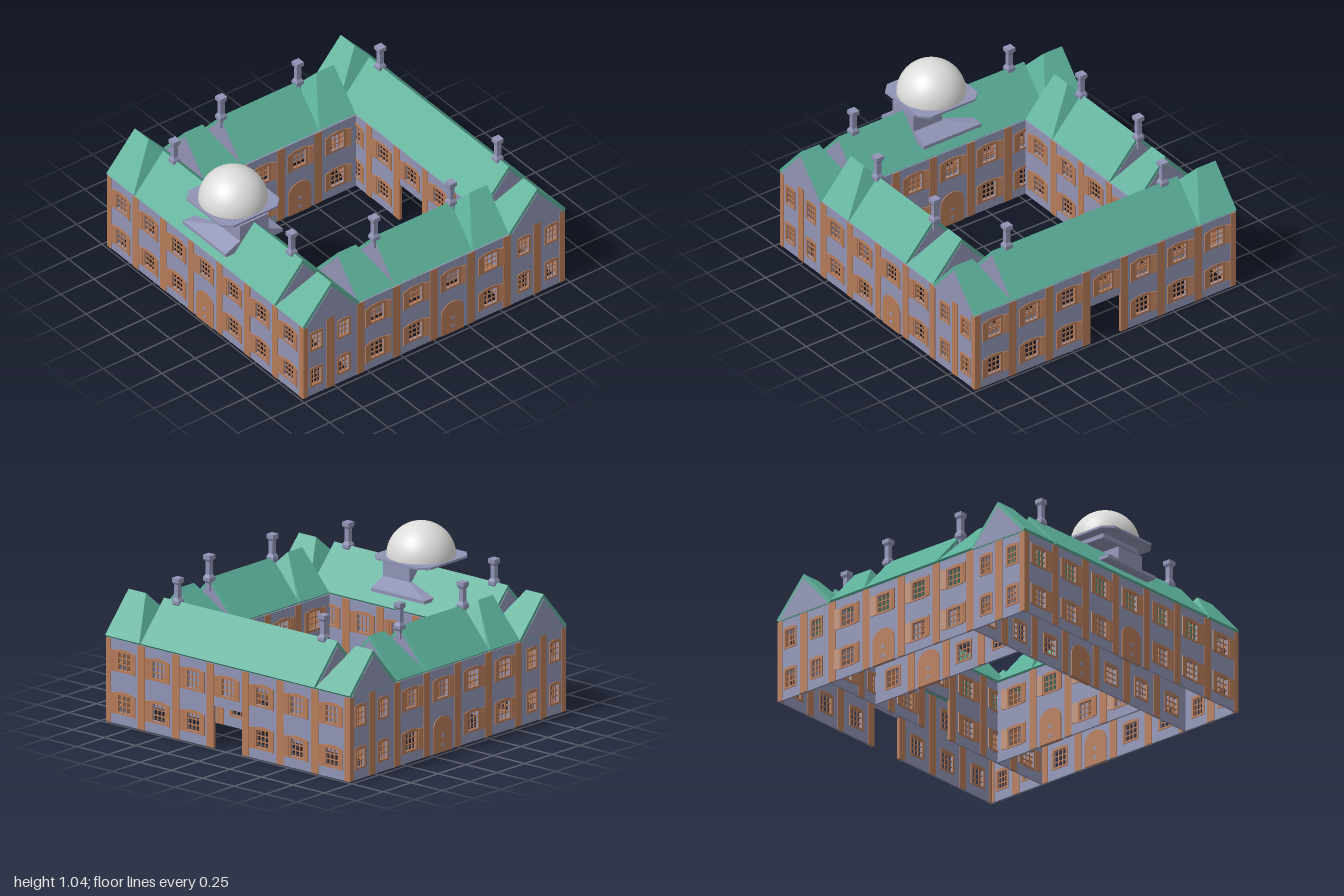
import * as THREE from 'three';
import { mergeGeometries } from 'three/addons/utils/BufferGeometryUtils.js';

const material = (name, color) => {
  const m = new THREE.MeshStandardMaterial({ color });
  m.name = name;
  return m;
};

const T = 0.012; // wall thickness
const WALL_TOP = 0.526;
const FLOORS = [0.13, 0.395];

function rectPath(Type, x, y, w, h) {
  const p = new Type();
  p.moveTo(x - w / 2, y - h / 2);
  p.lineTo(x + w / 2, y - h / 2);
  p.lineTo(x + w / 2, y + h / 2);
  p.lineTo(x - w / 2, y + h / 2);
  p.closePath();
  return p;
}

// Extrusion centred on the wall plane
function slab(shape, depth) {
  const g = new THREE.ExtrudeGeometry(shape, { depth, bevelEnabled: false, curveSegments: 10 });
  return g.translate(0, 0, -depth / 2);
}

function block(x, y, z, w, h, d) {
  return new THREE.BoxGeometry(w, h, d).translate(x, y, z).toNonIndexed();
}

export function createModel() {
  const stone = material('greyLilacStone', 0x9093b4);
  const brick = material('terracotta', 0xb57a58);
  const copper = material('greenCopper', 0x5aae98);
  const domeGrey = material('paleDome', 0xdcdcda);

  const model = new THREE.Group();
  model.name = 'courtyardBuilding';

  const add = (parent, name, geo, mat) => {
    const m = new THREE.Mesh(geo, mat);
    m.name = name;
    parent.add(m);
    return m;
  };

  // One facade: pierced wall, window frames, bars, shutters, pilasters, door
  function wall(name, half, bays, pilasters, { door = null, passage = false }, pos, turn) {
    const g = new THREE.Group();
    g.name = name;
    const outline = new THREE.Shape();
    outline.moveTo(-half, 0);
    if (passage) [[-0.14, 0], [-0.14, 0.265], [0.14, 0.265], [0.14, 0]].forEach(p => outline.lineTo(...p));
    outline.lineTo(half, 0);
    outline.lineTo(half, WALL_TOP);
    outline.lineTo(-half, WALL_TOP);
    outline.closePath();

    const trim = [], shutters = [], posts = [];
    for (const [x, narrow] of bays) {
      FLOORS.forEach((y, floor) => {
        const blocked = (door !== null && Math.abs(x - door) < 0.05) || (passage && Math.abs(x) < 0.05);
        if (floor === 0 && blocked) return;
        const w = narrow ? 0.07 : 0.095, h = 0.108;
        outline.holes.push(rectPath(THREE.Path, x, y, w, h));
        const fw = w + 0.03, fh = 0.134;
        const frame = new THREE.Shape();
        frame.moveTo(x - fw / 2, y - fh / 2);
        frame.lineTo(x + fw / 2, y - fh / 2);
        frame.lineTo(x + fw / 2, y + fh / 2);
        frame.quadraticCurveTo(x, y + fh / 2 + 0.016, x - fw / 2, y + fh / 2);
        frame.closePath();
        frame.holes.push(rectPath(THREE.Path, x, y, w, h));
        trim.push(slab(frame, T + 0.01));
        for (const s of [-1, 1]) {
          trim.push(block(x + s * w / 6, y, 0, 0.007, h, 0.006));
          trim.push(block(x, y + s * h / 6, 0, w, 0.007, 0.006));
          if (narrow) continue;
          // open shutter, hinged at the frame
          const leaf = new THREE.BoxGeometry(0.036, 0.132, 0.006).translate(0.018, 0, 0).toNonIndexed();
          leaf.rotateY(s > 0 ? -0.25 : Math.PI + 0.25);
          shutters.push(leaf.translate(x + s * fw / 2, y, T / 2 + 0.004));
        }
      });
    }
    for (const x of pilasters) {
      const edge = Math.abs(x) > half - 0.03;
      const w = edge ? 0.036 : 0.055;
      const px = edge ? Math.sign(x) * (half - w / 2 + 0.004) : x;
      posts.push(block(px, WALL_TOP / 2, 0, w, WALL_TOP - 0.002, T + 0.008));
    }
    add(g, 'wall', slab(outline, T), stone);
    add(g, 'windowFrames', mergeGeometries(trim), brick);
    if (shutters.length) add(g, 'shutters', mergeGeometries(shutters), brick);
    add(g, 'pilasters', mergeGeometries(posts), brick);

    if (door !== null) {
      const arch = new THREE.Shape();
      arch.moveTo(door - 0.085, 0);
      arch.lineTo(door + 0.085, 0);
      arch.lineTo(door + 0.085, 0.15);
      arch.bezierCurveTo(door + 0.085, 0.25, door - 0.085, 0.25, door - 0.085, 0.15);
      arch.closePath();
      add(g, 'archedDoor', slab(arch, T + 0.012), brick);
      const spots = [0.105, 0.045].map(y =>
        new THREE.CylinderGeometry(0.013, 0.013, T + 0.016, 10).rotateX(Math.PI / 2).translate(door, y, 0));
      add(g, 'doorOrnaments', mergeGeometries(spots), stone);
    }
    g.position.set(...pos);
    g.rotation.y = turn;
    model.add(g);
  }

  const longBays = [-0.825, -0.55, -0.275, 0, 0.275, 0.55, 0.825].map(x => [x, false]);
  const longPosts = [-0.96, -0.69, -0.415, -0.14, 0.14, 0.415, 0.69, 0.96];
  const innerBays = [-0.425, -0.14, 0.14, 0.425].map(x => [x, false]);
  const innerPosts = [-0.28, 0, 0.28];
  const sideBays = [...innerBays, ...[-0.885, -0.677, 0.677, 0.885].map(x => [x, true])];
  const sidePosts = [-0.975, -0.778, -0.55, ...innerPosts, 0.55, 0.778, 0.975];
  const H = Math.PI / 2;

  wall('frontWall', 0.963, longBays, longPosts, { door: 0 }, [0, 0, 0.976], 0);
  wall('backWall', 0.963, longBays, longPosts, { passage: true }, [0, 0, -0.976], Math.PI);
  wall('frontCourtyardWall', 0.955, longBays, longPosts.slice(1, -1), { door: 0 }, [0, 0, 0.572], Math.PI);
  wall('backCourtyardWall', 0.955, longBays, longPosts.slice(1, -1), { passage: true }, [0, 0, -0.572], 0);
  for (const s of [-1, 1]) {
    const side = s > 0 ? 'left' : 'right';
    wall(side + 'Wall', 0.98, sideBays, sidePosts, { door: s * 0.14 }, [s * 0.96, 0, 0], s * H);
    wall(side + 'CourtyardWall', 0.568, innerBays, innerPosts, { door: -s * 0.14 }, [s * 0.552, 0, 0], -s * H);
  }

  // Pitched roof running along local z; the z = 0 end may be hipped
  const profile = new THREE.Shape([[-0.198, 0.523], [0.198, 0.523], [0.215, 0.539], [0, 0.78], [-0.215, 0.539]]
    .map(p => new THREE.Vector2(...p)));
  const gableShape = new THREE.Shape([[-0.196, 0.527], [0.196, 0.527], [0, 0.75]]
    .map(p => new THREE.Vector2(...p)));
  function roof(name, length, hip, pos, turn) {
    const g = new THREE.Group();
    g.name = name;
    const geo = new THREE.ExtrudeGeometry(profile, { depth: length, bevelEnabled: false });
    const p = geo.attributes.position;
    for (let i = 0; i < p.count; i++) {
      if (p.getY(i) > 0.77 && p.getZ(i) < 0.001) p.setZ(i, hip);
    }
    geo.computeVertexNormals();
    add(g, 'roofCovering', geo, copper);
    const ends = hip ? [length] : [0, length];
    for (const z of ends) add(g, 'gable', slab(gableShape, 0.006), stone).position.z = z;
    g.position.set(...pos);
    g.rotation.y = turn;
    model.add(g);
  }

  for (const s of [-1, 1]) {
    const wingZ = s * 0.775, wingX = s * 0.757;
    roof(s > 0 ? 'frontRoof' : 'backRoof', 1.38, 0, [-0.69, 0, wingZ], H);
    roof('sideRoof', 0.57, 0, [wingX, 0, -0.285], 0);
    for (const t of [-1, 1]) {
      roof('cornerRoof', 0.272, 0.135, [t * 0.7, 0, wingZ], t * H);
      roof('sideEndRoof', 0.268, 0.135, [wingX, 0, t * 0.292], t > 0 ? 0 : Math.PI);
    }
  }

  // Chimneys: square stacks with flared foot and cap
  const stack = [[0, 0.7], [0.015, 0.7], [0.015, 0.75], [0.026, 0.765], [0.026, 0.785], [0.016, 0.805],
    [0.016, 0.885], [0.026, 0.9], [0.026, 0.926], [0, 0.926]]
    .map(([r, y]) => new THREE.Vector2(r * Math.SQRT2, y));
  const stackGeo = new THREE.LatheGeometry(stack, 4).rotateY(Math.PI / 4).toNonIndexed();
  stackGeo.computeVertexNormals();
  for (const s of [-1, 1]) for (const t of [-1, 1]) {
    add(model, 'endChimney', stackGeo, stone).position.set(s * 0.58, 0, t * 0.775);
    add(model, 'sideChimney', stackGeo, stone).position.set(s * 0.757, 0, t * 0.288);
  }

  // Observatory: skirted base, offset tower, octagonal platform and dome
  const dome = new THREE.Group();
  dome.name = 'observatory';
  dome.position.z = 0.775;
  model.add(dome);
  add(dome, 'baseSlab', block(-0.002, 0.624, 0, 0.425, 0.022, 0.43), stone);
  const skirt = new THREE.BoxGeometry(0.425, 0.05, 0.43).translate(-0.002, 0.66, 0).toNonIndexed();
  const sp = skirt.attributes.position;
  for (let i = 0; i < sp.count; i++) {
    if (sp.getY(i) > 0.66) {
      sp.setX(i, sp.getX(i) < 0 ? 0 : 0.21);
      sp.setZ(i, Math.sign(sp.getZ(i)) * 0.108);
    }
  }
  skirt.computeVertexNormals();
  add(dome, 'baseSkirt', skirt, stone);
  add(dome, 'tower', block(0.105, 0.698, 0, 0.21, 0.196, 0.215), stone);
  add(dome, 'collar', block(0, 0.807, 0, 0.31, 0.03, 0.25), stone);

  const c = 0.223, k = 0.165;
  const plate = new THREE.Shape([[c, -k], [c, k], [k, c], [-k, c], [-c, k], [-c, -k], [-k, -c], [k, -c]]
    .map(p => new THREE.Vector2(...p)));
  add(dome, 'platform', slab(plate, 0.014).rotateX(-H), stone).position.y = 0.827;
  add(dome, 'dome', new THREE.SphereGeometry(0.21, 40, 16, 0, Math.PI * 2, 0, H), domeGrey).position.y = 0.832;

  return model;
}
